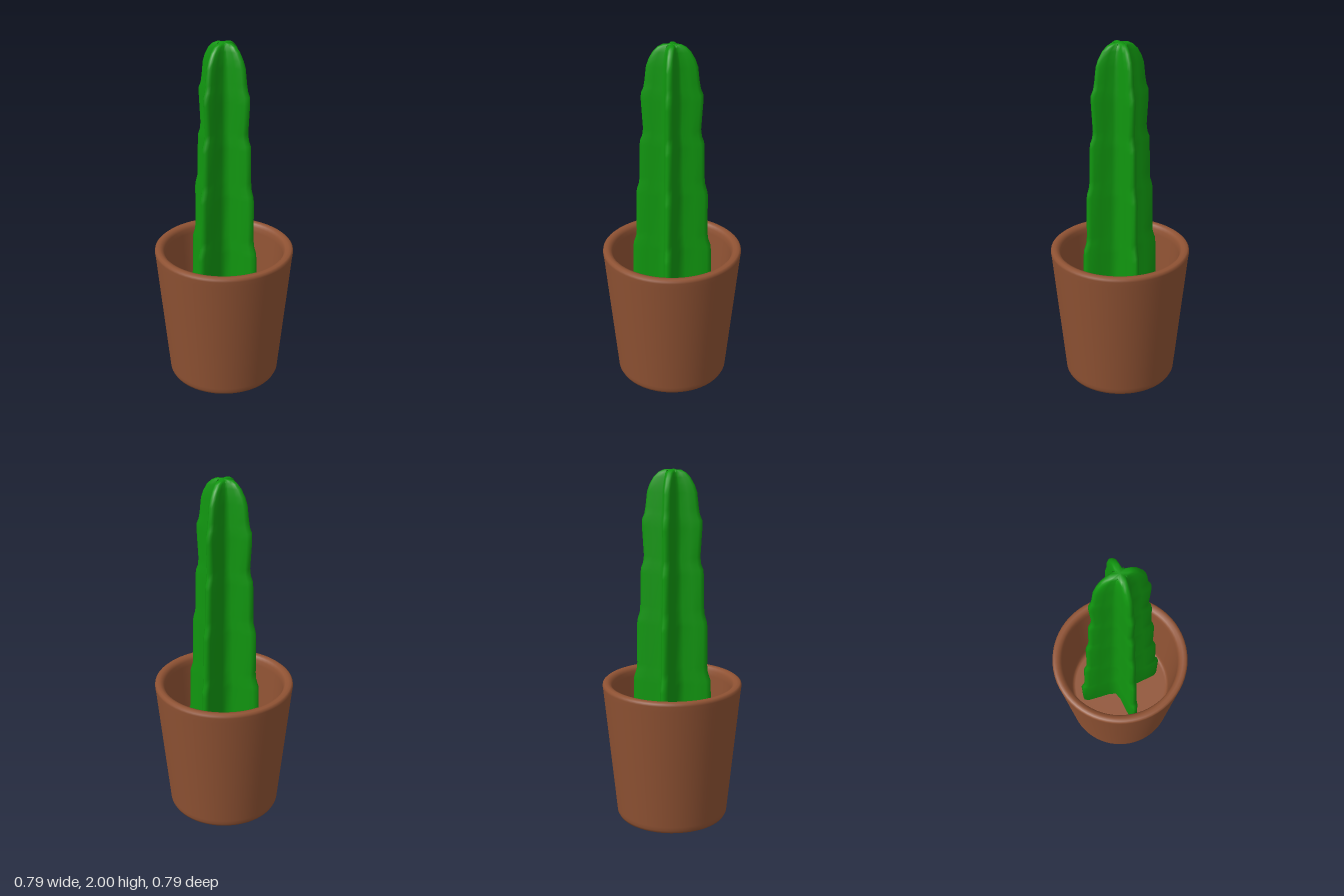
import * as THREE from 'three';

const terracotta = new THREE.MeshStandardMaterial({ color: 0x8f5233 });
terracotta.name = 'terracotta';
const cactusGreen = new THREE.MeshStandardMaterial({ color: 0x10960f });
cactusGreen.name = 'cactus green';

// Tapered pot with a rounded rim, hollow down to the soil level
function makePot() {
  const profile = [
    [0, 0], [0.27, 0], [0.29, 0.003], [0.312, 0.012], [0.32, 0.028], [0.322, 0.05],
    [0.391, 0.76], [0.395, 0.79], [0.394, 0.803], [0.385, 0.811], [0.368, 0.812],
    [0.352, 0.806], [0.342, 0.79], [0.338, 0.76],
    [0.305, 0.34], [0.3, 0.315], [0.292, 0.304], [0.28, 0.3], [0, 0.3],
  ].map(([r, y]) => new THREE.Vector2(r, y));
  const pot = new THREE.Mesh(new THREE.LatheGeometry(profile, 64), terracotta);
  pot.name = 'pot';
  return pot;
}

// One cross-shaped section: four tapering ribs of length r, thickness scale w
function crossSection(r, w) {
  const side = [[0.36 * r, 0.034 * w], [0.65 * r, 0.029 * w], [0.91 * r, 0.023 * w], [r, 0.009 * w]];
  const rib = [
    [0.047 * w, -0.047 * w],
    ...side.map(([u, v]) => [u, -v]),
    ...side.slice().reverse(),
  ];
  const ring = [];
  for (let k = 0; k < 4; k++) {
    const c = Math.round(Math.cos(k * Math.PI / 2)), s = Math.round(Math.sin(k * Math.PI / 2));
    for (const [u, v] of rib) ring.push([u * c - v * s, u * s + v * c]);
  }
  return ring;
}

// Stepped, narrowing cactus lofted through cross sections
function makeCactus() {
  const levels = [ // height, rib length, thickness
    [0.25, 0.243, 1], [0.52, 0.248, 1], [0.55, 0.238, 1], [0.58, 0.226, 1],
    [0.8, 0.222, 0.98], [0.83, 0.219, 0.98], [0.87, 0.205, 0.97], [0.91, 0.201, 0.96],
    [1.14, 0.2, 0.95], [1.17, 0.195, 0.95], [1.21, 0.183, 0.94], [1.25, 0.18, 0.93],
    [1.43, 0.177, 0.92], [1.46, 0.174, 0.92], [1.49, 0.162, 0.91], [1.53, 0.157, 0.9],
    [1.69, 0.167, 0.89], [1.73, 0.166, 0.88], [1.76, 0.153, 0.87], [1.8, 0.146, 0.85],
    [1.88, 0.137, 0.82], [1.92, 0.123, 0.78], [1.96, 0.1, 0.72], [1.985, 0.075, 0.64],
    [1.998, 0.05, 0.5],
  ];
  const pos = [], idx = [];
  for (const [y, r, w] of levels) {
    for (const [x, z] of crossSection(r, w)) pos.push(x, y, z);
  }
  const n = pos.length / 3 / levels.length;
  for (let j = 0; j < levels.length - 1; j++) {
    for (let i = 0; i < n; i++) {
      const a = j * n + i, b = j * n + (i + 1) % n;
      idx.push(a, a + n, b, b, a + n, b + n);
    }
  }
  // Crown and underside caps
  const crown = pos.length / 3, top = (levels.length - 1) * n;
  pos.push(0, 2, 0, 0, levels[0][0], 0);
  for (let i = 0; i < n; i++) {
    const next = (i + 1) % n;
    idx.push(crown, top + next, top + i, crown + 1, i, next);
  }
  const geo = new THREE.BufferGeometry();
  geo.setAttribute('position', new THREE.Float32BufferAttribute(pos, 3));
  geo.setIndex(idx);
  geo.computeVertexNormals();
  const cactus = new THREE.Mesh(geo, cactusGreen);
  cactus.name = 'cactus';
  return cactus;
}

export function createModel() {
  const model = new THREE.Group();
  model.name = 'potted cactus';
  model.add(makePot(), makeCactus());
  return model;
}
